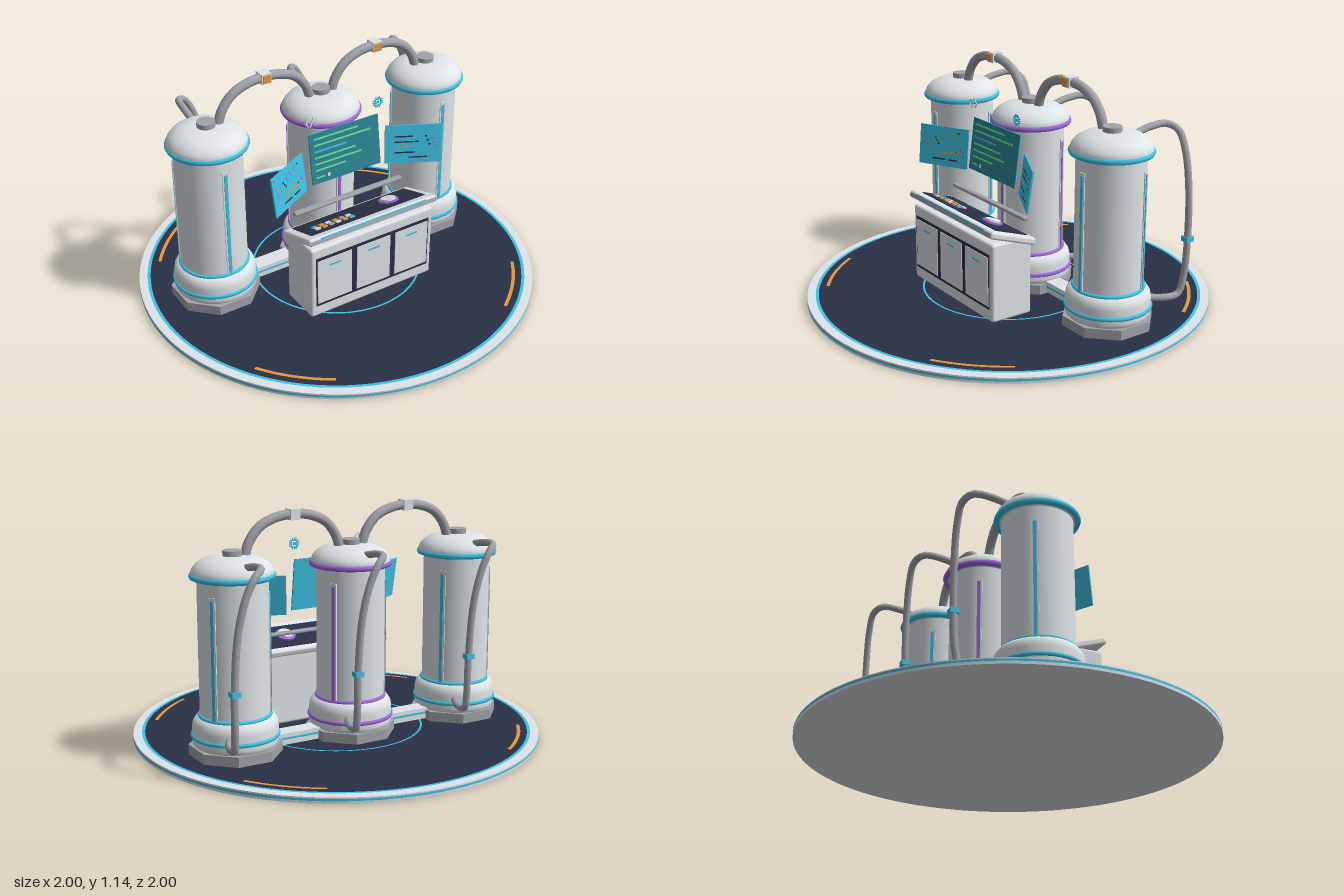
import * as THREE from 'three';
import { RoundedBoxGeometry } from 'three/addons/geometries/RoundedBoxGeometry.js';

const mat = (name, color) => {
  const m = new THREE.MeshStandardMaterial({ color });
  m.name = name;
  return m;
};
const light = mat('light shell', 0xdfe5e8);
const grey = mat('pipe grey', 0xa0a3aa);
const navy = mat('navy', 0x2a3146);
const cyan = mat('cyan trim', 0x3dc4e6);
const orange = mat('orange', 0xec9a3c);
const purple = mat('purple', 0xa368e0);
const teal = mat('main screen teal', 0x2c8594);
const green = mat('code green', 0x6cf09a);

const V = (x, y, z) => new THREE.Vector3(x, y, z);

function add(parent, name, geo, material, x = 0, y = 0, z = 0) {
  const m = new THREE.Mesh(geo, material);
  m.name = name;
  m.position.set(x, y, z);
  parent.add(m);
  return m;
}
const box = (p, name, m, w, h, d, x, y, z) => add(p, name, new THREE.BoxGeometry(w, h, d), m, x, y, z);
const cyl = (p, name, m, r, h, y, seg = 40) => add(p, name, new THREE.CylinderGeometry(r, r, h, seg), m, 0, y, 0);
const lathe = (p, name, m, pts) =>
  add(p, name, new THREE.LatheGeometry(pts.map(a => new THREE.Vector2(...a)), 40), m);
const pipe = (p, name, m, pts, r) =>
  add(p, name, new THREE.TubeGeometry(new THREE.CatmullRomCurve3(pts), 48, r, 12), m);
function hoop(p, name, m, r, tube, y) {
  const t = add(p, name, new THREE.TorusGeometry(r, tube, 8, 48), m, 0, y, 0);
  t.rotation.x = Math.PI / 2;
}
function floorRing(p, name, m, r0, r1, y, start = 0, len = Math.PI * 2) {
  const t = add(p, name, new THREE.RingGeometry(r0, r1, 96, 1, start, len), m, 0, y, 0);
  t.rotation.x = -Math.PI / 2;
}
function group(parent, name, x = 0, y = 0, z = 0) {
  const g = new THREE.Group();
  g.name = name;
  g.position.set(x, y, z);
  parent.add(g);
  return g;
}

// Round platform with inlaid floor markings
function buildPlatform(root) {
  const g = group(root, 'platform');
  cyl(g, 'platformDisc', light, 0.998, 0.028, 0.014, 96);
  add(g, 'edgeLight', new THREE.CylinderGeometry(1, 1, 0.01, 96, 1, true), cyan, 0, 0.017, 0);
  floorRing(g, 'floor', navy, 0, 0.945, 0.0295);
  floorRing(g, 'rimLight', cyan, 0.942, 0.957, 0.031);
  floorRing(g, 'innerRing', cyan, 0.418, 0.428, 0.031);
  for (let i = 0; i < 4; i++)
    floorRing(g, 'floorMark', orange, 0.893, 0.91, 0.031, Math.PI * (0.25 + i / 2) - 0.21, 0.42);
}

// Tank with foot, collar, light strips, dome and rear pipe
function buildTank(root, x, accent) {
  const g = group(root, 'tank', x, 0, -0.135);
  const footGeo = new THREE.CylinderGeometry(0.218, 0.218, 0.05, 8).toNonIndexed();
  footGeo.computeVertexNormals();
  add(g, 'foot', footGeo, grey, 0, 0.053, 0).rotation.y = Math.PI / 8;
  lathe(g, 'collar', light, [[0.19, 0.076], [0.198, 0.085], [0.2, 0.1], [0.2, 0.165], [0.195, 0.19], [0.18, 0.212], [0.155, 0.218]]);
  hoop(g, 'collarRing', accent, 0.197, 0.011, 0.125);
  hoop(g, 'lowerRing', accent, 0.163, 0.01, 0.218);
  cyl(g, 'body', light, 0.163, 0.66, 0.535, 48);
  for (let i = 0; i < 3; i++) {
    const s = group(g, 'lightStrip');
    s.rotation.y = i * Math.PI * 2 / 3;
    box(s, 'stripFrame', light, 0.032, 0.58, 0.008, 0, 0.5, 0.163);
    box(s, 'stripLight', accent, 0.016, 0.56, 0.008, 0, 0.495, 0.166);
  }
  hoop(g, 'upperRing', accent, 0.183, 0.015, 0.868);
  lathe(g, 'dome', light, [[0.16, 0.855], [0.186, 0.862], [0.19, 0.88], [0.184, 0.9], [0.166, 0.922],
    [0.135, 0.941], [0.095, 0.952], [0.05, 0.956], [0, 0.957]]);
  cyl(g, 'cap', grey, 0.044, 0.03, 0.965, 24);
  pipe(g, 'rearPipe', grey, [V(0, 0.92, -0.13), V(0, 0.94, -0.22), V(0.015, 0.945, -0.31), V(0.06, 0.92, -0.343),
    V(0.105, 0.84, -0.347), V(0.145, 0.68, -0.342), V(0.162, 0.43, -0.335), V(0.158, 0.22, -0.322),
    V(0.152, 0.15, -0.3), V(0.147, 0.143, -0.24), V(0.1, 0.15, -0.14)], 0.017);
  box(g, 'pipeClamp', cyan, 0.042, 0.024, 0.042, 0.162, 0.42, -0.335);
}

// Overhead arch pipe and floor duct joining two neighbouring tanks
function buildLink(root, side) {
  const g = group(root, 'tankLink', side * 0.31, 0, -0.135);
  pipe(g, 'archPipe', grey, [V(-0.25, 0.94, 0), V(-0.225, 1.01, 0), V(-0.17, 1.075, 0), V(-0.09, 1.11, 0), V(0, 1.12, 0),
    V(0.09, 1.11, 0), V(0.17, 1.075, 0), V(0.225, 1.01, 0), V(0.25, 0.94, 0)], 0.023);
  box(g, 'archJoint', light, 0.05, 0.05, 0.058, 0, 1.12, 0);
  box(g, 'jointLight', orange, 0.04, 0.038, 0.006, 0, 1.12, 0.031);
  box(g, 'floorDuct', light, 0.36, 0.055, 0.085, 0, 0.062, 0);
  for (const s of [-1, 1]) box(g, 'ductLight', cyan, 0.36, 0.01, 0.003, 0, 0.065, s * 0.0425);
}

// Cabinet with three doors and a sloping control top
function buildConsole(root) {
  const g = group(root, 'console');
  add(g, 'cabinet', new RoundedBoxGeometry(0.7, 0.39, 0.22, 3, 0.014), light, 0, 0.228, 0.22);
  box(g, 'doorRecess', navy, 0.65, 0.275, 0.006, 0, 0.232, 0.33);
  for (const x of [-0.222, 0, 0.222]) {
    box(g, 'door', light, 0.192, 0.245, 0.008, x, 0.232, 0.332);
    box(g, 'doorHandle', cyan, 0.066, 0.009, 0.006, x, 0.315, 0.335);
  }
  const top = group(g, 'controlTop', 0, 0.437, 0.22);
  top.rotation.x = -0.33;
  add(top, 'topSlab', new RoundedBoxGeometry(0.73, 0.036, 0.262, 3, 0.012), light);
  box(top, 'frontEdge', grey, 0.715, 0.018, 0.004, 0, -0.004, 0.13);
  box(top, 'frontTrim', cyan, 0.6, 0.006, 0.004, 0, 0.008, 0.131);
  box(top, 'controlPanel', navy, 0.65, 0.006, 0.185, 0, 0.019, -0.008);
  const keys = [[cyan, orange, light, orange, grey, light], [light, orange, grey, light, orange, cyan]];
  keys.forEach((row, j) => row.forEach((m, i) =>
    box(top, 'key', m, 0.026, 0.008, 0.022, -0.262 + i * 0.038, 0.025, 0.004 + j * 0.033)));
  const dial = group(top, 'dial', 0.17, 0, -0.004);
  cyl(dial, 'dialRing', purple, 0.05, 0.01, 0.025, 24);
  cyl(dial, 'dialKnob', light, 0.038, 0.018, 0.029, 24);
  // Projector bar behind the control top
  add(g, 'projectorBar', new RoundedBoxGeometry(0.62, 0.018, 0.032, 2, 0.008), grey, 0, 0.495, 0.112);
}

// Thin screen facing +z, with a separate back
function screen(root, name, face, w, h, x, y, z, yaw) {
  const g = group(root, name, x, y, z);
  g.rotation.set(-0.13, yaw, 0, 'YXZ');
  box(g, 'screenFace', face, w, h, 0.004, 0, 0, 0.002);
  box(g, 'screenBack', cyan, w, h, 0.004, 0, 0, -0.002);
  return g;
}
const line = (g, m, x, y, len, h = 0.007) => box(g, 'screenLine', m, len, h, 0.002, x + len / 2, y, 0.004);

function buildScreens(root) {
  const main = screen(root, 'mainScreen', teal, 0.39, 0.258, 0, 0.738, 0.08, 0);
  [0.25, 0.32, 0.18, 0.23, 0.26, 0.17].forEach((len, i) =>
    line(main, i === 2 ? cyan : green, -0.172, 0.1 - i * 0.032, len, 0.009));
  line(main, green, -0.172, -0.097, 0.05, 0.009);
  line(main, light, -0.108, -0.097, 0.014, 0.018);

  const left = screen(root, 'chartScreen', cyan, 0.275, 0.2, -0.353, 0.69, 0.145, 0.49);
  for (let i = 0; i < 20; i++) {
    const x = -0.12 + ((i * 37) % 100) / 100 * 0.23, y = 0.08 - ((i * 61) % 100) / 100 * 0.11;
    line(left, [purple, navy, orange, purple][i % 4], x, y, 0.01, 0.008);
  }
  [-0.05, 0, 0.05].forEach((x, i) => line(left, orange, x, -0.04 + i * 0.008, 0.055));
  line(left, navy, -0.06, -0.065, 0.07);
  line(left, navy, 0.03, -0.065, 0.05);

  const right = screen(root, 'dataScreen', cyan, 0.275, 0.2, 0.353, 0.69, 0.145, -0.49);
  [0.09, 0.12, 0.07, 0.1].forEach((len, i) =>
    line(right, i === 2 ? orange : navy, -0.09, 0.04 - i * 0.028, len));
  for (let i = 0; i < 6; i++)
    line(right, i % 2 ? purple : navy, 0.06 + ((i * 29) % 50) / 1000, 0.04 - i * 0.011, 0.01, 0.008);
  line(right, navy, -0.02, -0.07, 0.09);
}

// Small floating symbols above the screens
function buildSymbols(root) {
  const b = group(root, 'bracketSymbol', -0.185, 0.94, 0.08);
  const bar = (x, y, len, a) => { box(b, 'stroke', light, len, 0.006, 0.004, x, y, 0).rotation.z = a; };
  for (const s of [-1, 1]) for (const t of [-1, 1]) bar(s * 0.025, t * 0.009, 0.026, -s * t * 0.9);
  bar(0, 0, 0.052, 1.2);
  const c = group(root, 'chipSymbol', 0.185, 0.94, 0.08);
  for (const s of [-1, 1]) {
    box(c, 'chipEdge', cyan, 0.038, 0.006, 0.004, 0, s * 0.016, 0);
    box(c, 'chipEdge', cyan, 0.006, 0.038, 0.004, s * 0.016, 0, 0);
    for (const t of [-0.01, 0, 0.01]) {
      box(c, 'chipPin', cyan, 0.004, 0.01, 0.004, t, s * 0.023, 0);
      box(c, 'chipPin', cyan, 0.01, 0.004, 0.004, s * 0.023, t, 0);
    }
  }
  box(c, 'chipCore', cyan, 0.014, 0.014, 0.004, 0, 0, 0);
}

export function createModel() {
  const root = new THREE.Group();
  root.name = 'tankStation';
  buildPlatform(root);
  buildTank(root, -0.62, cyan);
  buildTank(root, 0, purple);
  buildTank(root, 0.62, cyan);
  for (const side of [-1, 1]) buildLink(root, side);
  buildConsole(root);
  buildScreens(root);
  buildSymbols(root);
  return root;
}
